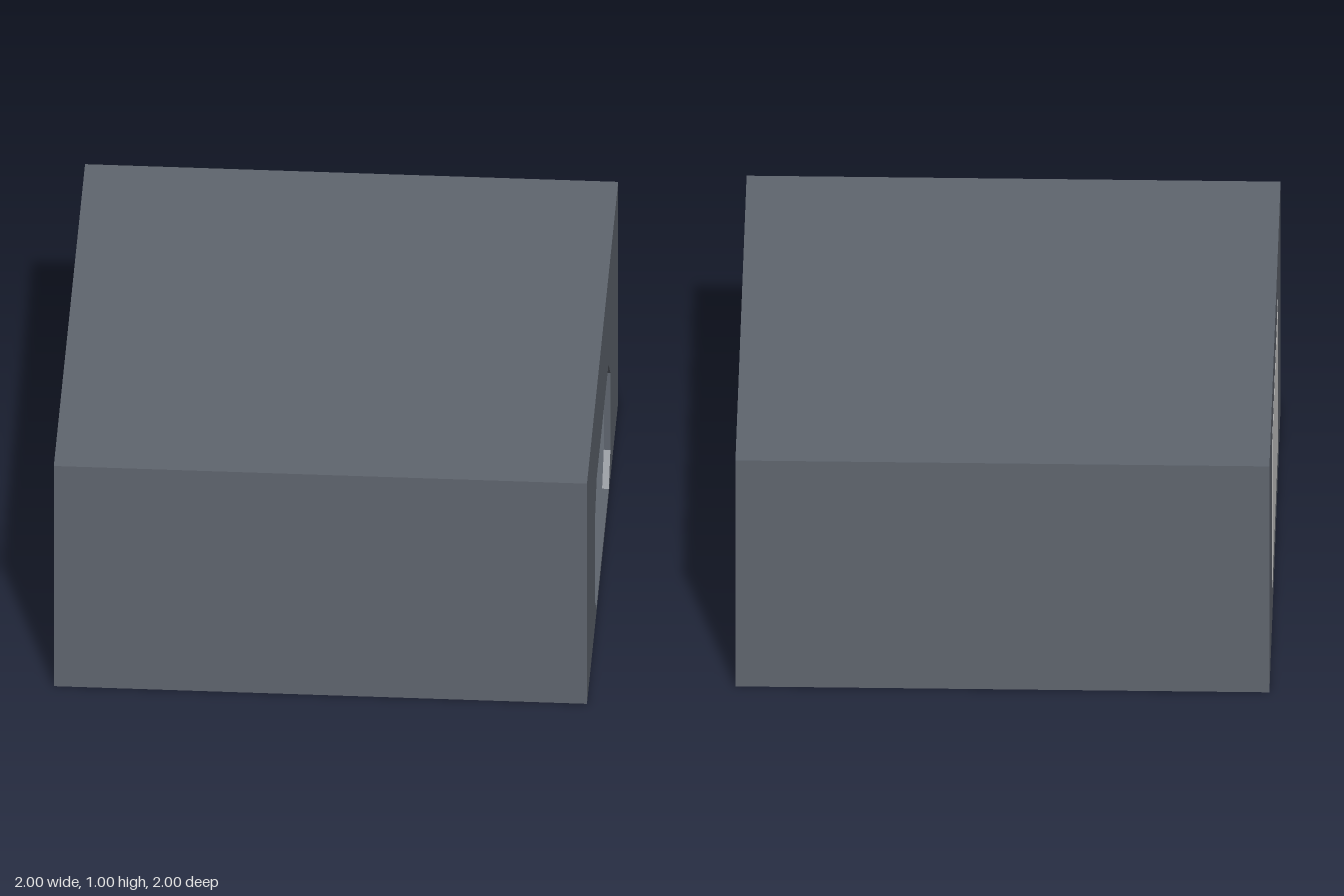
import * as THREE from 'three';

const T = 0.025; // wall thickness
const FLOOR = 0.02;

// Rectangle with chamfered corners, as points
function octagon(halfWidth, bottom, top, c) {
  const w = halfWidth;
  return [
    [-w + c, bottom], [-w, bottom + c], [-w, top - c], [-w + c, top],
    [w - c, top], [w, top - c], [w, bottom + c], [w - c, bottom],
  ].map(([x, y]) => new THREE.Vector2(x, y));
}

export function createModel() {
  const group = new THREE.Group();
  const shellMat = new THREE.MeshStandardMaterial({ color: 0x5f656e, flatShading: true });
  const panelMat = new THREE.MeshStandardMaterial({ color: 0xcccccc, flatShading: true });

  const add = (name, geometry, material, x, y, z) => {
    const mesh = new THREE.Mesh(geometry, material);
    mesh.name = name;
    mesh.position.set(x, y, z);
    group.add(mesh);
    return mesh;
  };

  // Side wall extruded along x
  const addSide = (name, shape, x) => {
    const geometry = new THREE.ExtrudeGeometry(shape, { depth: T, bevelEnabled: false });
    geometry.rotateY(Math.PI / 2);
    add(name, geometry, shellMat, x, 0, 0);
  };

  // Floor, roof, front and back of the hollow box
  add('floor', new THREE.BoxGeometry(2 - T, FLOOR, 2 - T), shellMat, T / 2, FLOOR / 2, 0);
  add('roof', new THREE.BoxGeometry(2 - 2 * T, T, 2 - 2 * T), shellMat, 0, 1 - T / 2, 0);
  for (const [name, s] of [['frontWall', 1], ['backWall', -1]]) {
    add(name, new THREE.BoxGeometry(2 - 2 * T, 1, T), shellMat, 0, 0.5, s * (1 - T / 2));
  }
  // Thin skins close the top and bottom over the wall edges
  const corner = (x, y) => new THREE.Vector2(x, y);

  // Left wall with a chamfered doorway reaching the ground
  const doorWall = new THREE.Shape([
    corner(-1, 0), ...octagon(0.5, 0, 0.6, 0.125), corner(1, 0), corner(1, 1), corner(-1, 1),
  ]);
  addSide('doorwayWall', doorWall, 1 - T);

  // Right wall with a chamfered window
  const windowWall = new THREE.Shape([corner(-1, 0), corner(1, 0), corner(1, 1), corner(-1, 1)]);
  windowWall.holes.push(new THREE.Path(octagon(0.5, 0.15, 0.8, 0.08)));
  addSide('windowWall', windowWall, -1);

  // Thin panel covering the window from outside
  add('windowPanel', new THREE.BoxGeometry(0.004, 0.65, 1), panelMat, -0.999, 0.475, 0);

  return group;
}
